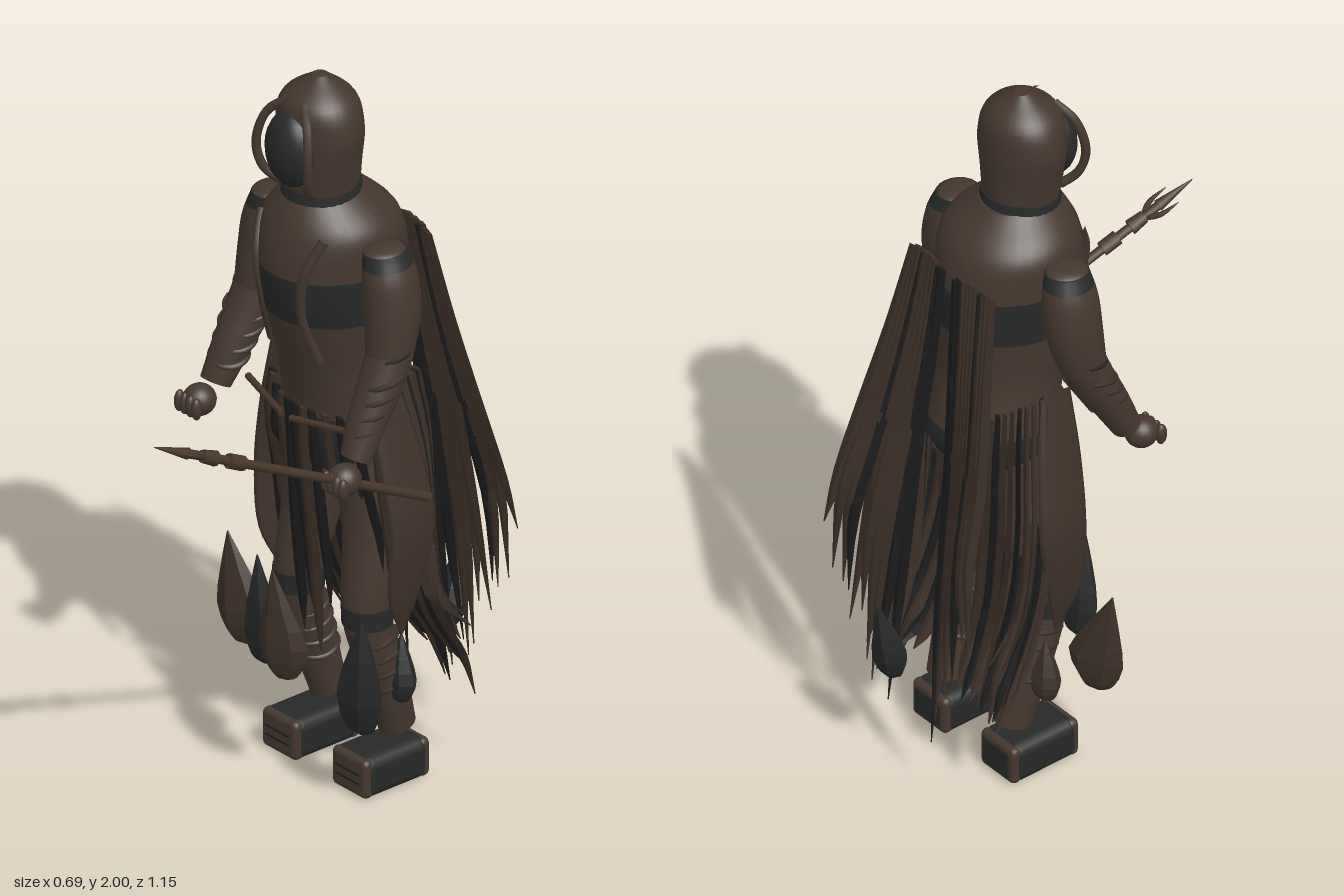
import * as THREE from 'three';
import { RoundedBoxGeometry } from 'three/addons/geometries/RoundedBoxGeometry.js';

const V = (x, y, z) => new THREE.Vector3(x, y, z);
const X = V(1, 0, 0), Z = V(0, 0, 1);

const mat = (name, hex) => {
  const m = new THREE.MeshStandardMaterial({ color: hex });
  m.name = name;
  return m;
};

// Seeded jitter in the range -1..1
let seed = 7;
const jit = () => ((seed = (seed * 16807) % 2147483647) / 2147483647) * 2 - 1;

// Sweeps an ellipse along a path. sizes are [half width along e0, half width across] per path point.
function sweep(path, sizes, { e0 = X, e1 = null, sides = 20, seg = 20, from = 0, to = 1, flat = false } = {}) {
  const curve = new THREE.CatmullRomCurve3(path, false, 'catmullrom', 0.5);
  const size = new THREE.CatmullRomCurve3(sizes.map(([a, b]) => V(a, b, 0)), false, 'catmullrom', 0.5);
  const pos = [], idx = [];
  const ring = (u) => {
    const c = curve.getPoint(u), s = size.getPoint(u);
    const across = e1 || curve.getTangent(u).cross(e0).normalize();
    for (let j = 0; j < sides; j++) {
      const t = (j / sides) * Math.PI * 2;
      const p = c.clone().addScaledVector(e0, Math.cos(t) * s.x).addScaledVector(across, Math.sin(t) * s.y);
      pos.push(p.x, p.y, p.z);
    }
    return c;
  };
  for (let i = 0; i <= seg; i++) ring(from + ((to - from) * i) / seg);
  for (let i = 0; i < seg; i++) for (let j = 0; j < sides; j++) {
    const k = (j + 1) % sides, a = i * sides + j, b = i * sides + k;
    idx.push(a, b, b + sides, a, b + sides, a + sides);
  }
  for (const [u, end] of [[from, 0], [to, 1]]) {
    const base = pos.length / 3, c = ring(u);
    pos.push(c.x, c.y, c.z);
    for (let j = 0; j < sides; j++) {
      const a = base + j, b = base + (j + 1) % sides;
      idx.push(base + sides, end ? a : b, end ? b : a);
    }
  }
  let g = new THREE.BufferGeometry();
  g.setAttribute('position', new THREE.Float32BufferAttribute(pos, 3));
  g.setIndex(idx);
  if (flat) g = g.toNonIndexed();
  g.computeVertexNormals();
  return g;
}

export function createModel() {
  seed = 7;
  const root = new THREE.Group();
  const figure = new THREE.Group();
  figure.name = 'figure';
  figure.position.x = 0.01;
  root.add(figure);
  const brown = mat('brown cloth', 0x45372f);
  const rag = mat('ragged brown', 0x3e3129);
  const dark = mat('charcoal', 0x272929);
  const black = mat('black cloth', 0x1f1e1e);
  const wood = mat('wood', 0x463529);
  const add = (name, geo, m, parent = figure) => {
    const mesh = new THREE.Mesh(geo, m);
    mesh.name = name;
    parent.add(mesh);
    return mesh;
  };
  const ball = (name, r, p, s, m, parent) => {
    const b = add(name, new THREE.SphereGeometry(r, 20, 14), m, parent);
    b.position.copy(p);
    b.scale.copy(s);
  };
  // Rounded stack of horizontal slices: [y, half width, front z, back z]
  const stack = (rows, opt = {}) => sweep(
    rows.map(([y, , f, b]) => V(0, y, (f + b) / 2)),
    rows.map(([, rx, f, b]) => [(f - b) / 2, rx]), { e0: Z, e1: X, sides: 32, ...opt });

  // Torso, split into coloured bands
  const body = [[0.9, 0.14, -0.1, -0.33], [1, 0.17, -0.07, -0.4], [1.1, 0.172, -0.06, -0.39],
    [1.2, 0.165, -0.04, -0.37], [1.3, 0.172, -0.01, -0.365], [1.4, 0.182, 0.015, -0.37],
    [1.5, 0.183, 0.022, -0.37], [1.6, 0.174, 0, -0.34], [1.685, 0.095, -0.045, -0.25]];
  [['hips', 0, 0.2, dark], ['waist', 0.2, 0.56, brown], ['chestBand', 0.56, 0.725, dark], ['shoulders', 0.725, 1, brown]]
    .forEach(([n, from, to, m]) => add(n, stack(body, { from, to }), m));
  const collar = add('collar', new THREE.CylinderGeometry(0.1, 0.105, 0.04, 28), dark);
  collar.position.set(0, 1.69, -0.14);

  // Hood and shadowed face
  add('hood', stack([[1.69, 0.1, -0.04, -0.235], [1.77, 0.112, -0.03, -0.237], [1.86, 0.124, -0.03, -0.238],
    [1.94, 0.1, -0.04, -0.224], [2, 0.02, -0.115, -0.155]], { seg: 24 }), brown);
  ball('face', 1, V(-0.005, 1.815, -0.045), V(0.08, 0.105, 0.06), dark);

  // Leaf-shaped plates: bottom, widest, top
  const leaf = (x, y0, y1, z, w, d, m, lean = 0, turn = 0, tilt = 0) => {
    const h = y1 - y0;
    const g = sweep([V(0, 0, 0), V(0, 0.07 * h, 0), V(0, 0.3 * h, 0), V(lean / 2, 0.65 * h, 0), V(lean, h, 0)],
      [[w * 0.35, d * 0.4], [w * 0.65, d * 0.8], [w, d], [w * 0.56, d * 0.65], [0.002, 0.002]],
      { sides: 6, seg: 8, e1: V(0, 0, -1), flat: true });
    const p = add('leafPlate', g, m, root);
    p.position.set(x, y0, z);
    p.rotation.set(tilt, turn, 0);
  };
  leaf(-0.1, 0.31, 0.62, -0.045, 0.068, 0.035, dark, 0, 0, 0.08);
  leaf(0.06, 0.35, 0.66, 0.025, 0.07, 0.028, rag, -0.02, 0.4, 0.06);
  leaf(0.245, 0.24, 0.58, -0.07, 0.082, 0.045, dark, 0.03, 0, 0.08);
  leaf(-0.265, 0.27, 0.57, -0.12, 0.082, 0.03, rag, -0.05, 0.3);
  leaf(0.06, 0.31, 0.55, -0.51, 0.055, 0.04, dark, 0, 0, -0.22);
  leaf(-0.2, 0.25, 0.43, -0.23, 0.05, 0.035, rag);
  leaf(0.2, 0.25, 0.44, -0.24, 0.05, 0.035, dark);

  // Tapered cloth strip hanging along a path
  const strip = (name, path, w, m, side = X) => add(name, sweep(path,
    [[w * 0.8, 0.006], [w, 0.007], [w * 1.1, 0.007], [w * 0.95, 0.006], [0.002, 0.002]],
    { e0: side, sides: 4, seg: 12, flat: true }), m);

  for (const s of [-1, 1]) {
    // Hood brim and chest folds
    const tube = (name, pts, r, m) => add(name, new THREE.TubeGeometry(new THREE.CatmullRomCurve3(pts), 20, r, 8), m);
    tube('hoodBrim', [V(s * 0.03, 1.945, -0.055), V(s * 0.078, 1.9, -0.025), V(s * 0.1, 1.81, -0.008),
      V(s * 0.085, 1.74, -0.02), V(s * 0.055, 1.7, -0.055)], 0.012, brown);
    tube('chestFold', [V(s * 0.12, 1.6, -0.045), V(s * 0.09, 1.5, -0.004), V(s * 0.075, 1.38, -0.01), V(s * 0.09, 1.24, -0.055)], 0.014, brown);

    // Arm
    const arm = new THREE.Group();
    arm.name = s > 0 ? 'leftArm' : 'rightArm';
    figure.add(arm);
    const upper = [V(s * 0.215, 1.575, -0.165), V(s * 0.231, 1.5, -0.168), V(s * 0.244, 1.4, -0.165), V(s * 0.253, 1.29, -0.145)];
    const girth = [[0.052, 0.06], [0.066, 0.076], [0.067, 0.076], [0.06, 0.062]];
    add('upperArm', sweep(upper, girth, { from: 0.17 }), brown, arm);
    add('shoulderBand', sweep(upper, girth, { to: 0.17, seg: 6 }), dark, arm);
    ball('shoulderCap', 0.052, V(s * 0.214, 1.57, -0.165), V(1, 0.35, 1.15), brown, arm);
    const lower = [V(s * 0.253, 1.31, -0.15), V(s * 0.257, 1.23, -0.115), V(s * 0.262, 1.14, -0.065), V(s * 0.27, 1.05, -0.02)];
    add('forearm', sweep(lower, [[0.06, 0.06], [0.059, 0.058], [0.052, 0.05], [0.042, 0.04]]), brown, arm);
    const cuff = (name, p, r, m, tilt, parent) => {
      const t = add(name, new THREE.TorusGeometry(r, 0.008, 6, 24), m, parent);
      t.position.copy(p);
      t.rotation.set(Math.PI / 2 + tilt, s * 0.22, 0);
    };
    cuff('elbowBand', V(s * 0.253, 1.3, -0.147), 0.057, dark, 0.2, arm);
    for (let i = 0; i < 4; i++) cuff('armWrap', V(s * 0.259, 1.24 - i * 0.04, -0.118 + i * 0.021), 0.058 - i * 0.0035, rag, 0.2, arm);
    ball('hand', 0.045, V(s * 0.28, 1.01, 0.025), V(0.95, 0.95, 1), brown, arm);
    for (let i = 0; i < 4; i++) ball('finger', 0.016, V(s * (0.25 + i * 0.022), 1.005, 0.06), V(0.75, 1.9, 1), brown, arm);

    // Leg
    const leg = new THREE.Group();
    leg.name = s > 0 ? 'leftLeg' : 'rightLeg';
    figure.add(leg);
    add('legTrouser', sweep([V(s * 0.09, 0.98, -0.23), V(s * 0.115, 0.72, -0.21), V(s * 0.132, 0.5, -0.175),
      V(s * 0.137, 0.32, -0.225), V(s * 0.132, 0.15, -0.275)],
    [[0.085, 0.09], [0.078, 0.078], [0.062, 0.064], [0.058, 0.06], [0.047, 0.05]]), brown, leg);
    const knee = add('kneeBand', new THREE.CylinderGeometry(0.068, 0.066, 0.055, 20), dark, leg);
    knee.position.set(s * 0.132, 0.5, -0.178);
    for (let i = 0; i < 4; i++) cuff('shinWrap', V(s * 0.137, 0.42 - i * 0.045, -0.198 - i * 0.013), 0.059 - i * 0.001, rag, 0.25, leg);

    // Shoe with brown toe and heel faces
    const x = s * 0.135;
    const shoe = add('shoe', new RoundedBoxGeometry(0.14, 0.115, 0.215, 2, 0.03), dark, leg);
    shoe.position.set(x, 0.0625, -0.22);
    for (const [n, z] of [['toeFace', -0.127], ['heelFace', -0.313]]) {
      add(n, new RoundedBoxGeometry(0.134, 0.109, 0.034, 2, 0.016), brown, leg).position.set(x, 0.0625, z);
    }
    for (const y of [0.05, 0.075]) add('toeSeam', new THREE.BoxGeometry(0.09, 0.005, 0.006), black, leg).position.set(x, y, -0.109);
    add('heelInset', new RoundedBoxGeometry(0.1, 0.076, 0.008, 2, 0.003), dark, leg).position.set(x, 0.0625, -0.329);

    // Back cape fanning outward
    for (let i = 0; i < 10; i++) {
      const f = i / 9;
      strip('capeStrip', [V(s * (0.03 + 0.12 * f), 1.54 + jit() * 0.01, -0.372 + 0.012 * f),
        V(s * (0.045 + 0.14 * f), 1.28, -0.393 - 0.015 * f), V(s * (0.065 + 0.165 * f), 1.02, -0.42 - 0.045 * f),
        V(s * (0.075 + 0.185 * f), 0.58 + 0.24 * f, -0.47 - 0.055 * f + jit() * 0.012),
        V(s * (0.08 + 0.2 * f) + jit() * 0.01, 0.2 + 0.42 * f + jit() * 0.06, -0.505 - 0.03 * f + jit() * 0.012)],
      0.024, i < 2 || i === 6 ? black : rag);
    }
    // Broad panel over the outer thigh
    add('thighPanel', sweep([V(s * 0.185, 1.17, -0.18), V(s * 0.228, 0.98, -0.2), V(s * 0.262, 0.78, -0.215),
      V(s * 0.25, 0.6, -0.2), V(s * 0.225, 0.46, -0.21)],
    [[0.05, 0.008], [0.07, 0.014], [0.075, 0.018], [0.055, 0.012], [0.003, 0.003]], { e0: V(0, 0, -1), sides: 12 }), rag);
    // Rear skirt layer sweeping back
    for (let i = 0; i < 9; i++) {
      const f = i / 8, side = V(s * (0.35 + 0.5 * f), 0, -0.6 + 0.4 * f).normalize();
      strip('skirtStrip', [V(s * (0.185 - 0.06 * f), 1.17 - 0.03 * f, -0.2 - 0.14 * f),
        V(s * (0.225 - 0.09 * f), 0.98, -0.23 - 0.13 * f), V(s * (0.255 - 0.12 * f), 0.78, -0.25 - 0.12 * f),
        V(s * (0.26 - 0.13 * f), 0.56, -0.29 - 0.1 * f),
        V(s * (0.275 - 0.16 * f), 0.36 + jit() * 0.1, -0.4 - 0.04 * f)], 0.025, i % 3 === 1 ? black : rag, side);
    }
    // Lower feather layer behind the knees
    for (let i = 0; i < 7; i++) {
      const f = i / 6, x0 = s * (0.235 - 0.18 * f), out = s * 0.008;
      strip('lowerFeather', [V(x0, 0.8, -0.25), V(x0 + out, 0.63, -0.275), V(x0 + 2 * out, 0.48, -0.32),
        V(x0 + 3 * out, 0.37, -0.38), V(x0 + 4 * out, 0.28 + jit() * 0.05, -0.43 + jit() * 0.02)], 0.024, i % 2 ? black : rag);
    }
    // Waist rod
    const rod = add('waistRod', new THREE.CylinderGeometry(0.009, 0.009, 0.19, 8), wood);
    rod.position.set(s * 0.11, 1.07, -0.045);
    rod.rotation.set(0, s * 0.25, Math.PI / 2 + s * 0.08);
  }

  // Front skirt strips: x, end height, colour
  [[-0.2, 0.5, black], [-0.175, 0.6, rag], [-0.125, 0.75, black], [-0.08, 0.66, rag], [-0.045, 0.4, black], [-0.01, 0.48, black],
    [0.02, 0.36, rag], [0.05, 0.5, black], [0.09, 0.72, rag], [0.13, 0.78, black], [0.175, 0.6, black], [0.205, 0.5, rag]]
    .forEach(([x, end, m]) => {
      const z = -0.06 - x * x * 2;
      strip('frontStrip', [V(x * 0.95, 1.08, z), V(x, 0.95, z - 0.01 + jit() * 0.01),
        V(x * 1.03, (1.05 + end) / 2, z - 0.03), V(x * 1.05, end + 0.12, z - 0.05), V(x * 1.06, end, z - 0.06)], 0.021, m);
    });

  // Spear held in the left hand, modelled upright then aimed forward
  const spear = new THREE.Group();
  spear.name = 'spear';
  const tail = V(0.33, 0.89, -0.22), tip = V(0.2, 1.26, 0.58), len = tail.distanceTo(tip);
  spear.position.copy(tail);
  spear.quaternion.setFromUnitVectors(V(0, 1, 0), tip.clone().sub(tail).normalize());
  root.add(spear);
  const rodPart = (name, r0, r1, y0, y1) =>
    (add(name, new THREE.CylinderGeometry(r1, r0, y1 - y0, 8), wood, spear).position.y = (y0 + y1) / 2);
  rodPart('shaft', 0.013, 0.012, 0, len - 0.1);
  rodPart('spearRing', 0.02, 0.02, len - 0.29, len - 0.24);
  rodPart('spearRing', 0.021, 0.017, len - 0.2, len - 0.155);
  rodPart('spearHead', 0.016, 0.001, len - 0.11, len);
  for (const s of [-1, 1]) {
    add('prong', sweep([V(0, len - 0.16, 0), V(s * 0.026, len - 0.12, 0), V(s * 0.03, len - 0.065, 0)],
      [[0.008, 0.008], [0.007, 0.007], [0.001, 0.001]], { e0: Z, sides: 6, seg: 6 }), wood, spear);
  }
  return root;
}
